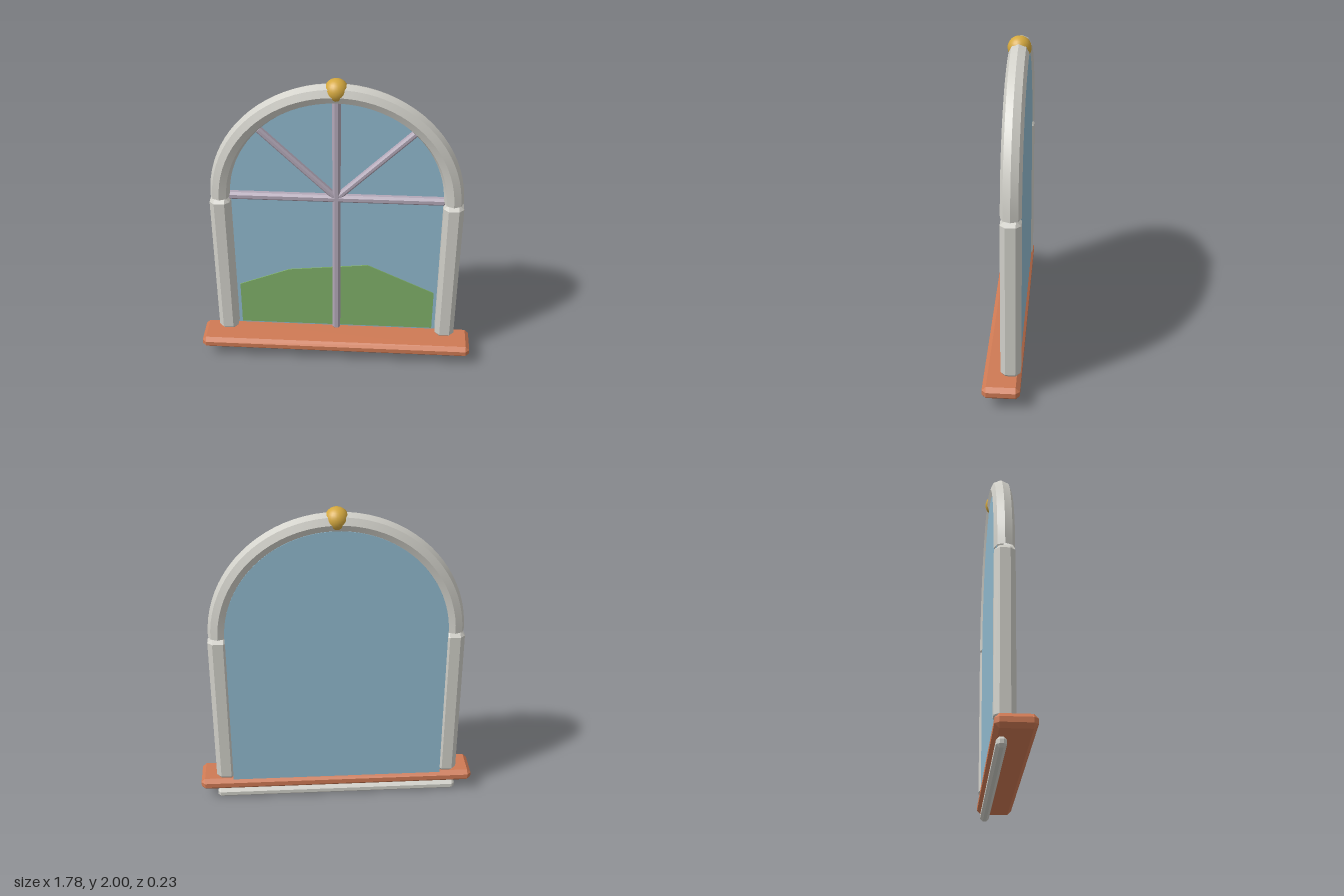
import * as THREE from 'three';
import { toCreasedNormals } from 'three/addons/utils/BufferGeometryUtils.js';
import { ConvexGeometry } from 'three/addons/geometries/ConvexGeometry.js';

const SPRING = 1.19;   // height where the arch begins
const MID_Z = -0.048;  // middle of the frame's depth

function material(name, color) {
  const m = new THREE.MeshStandardMaterial({ color });
  m.name = name;
  return m;
}

// Box with every edge cut by a flat chamfer
function chamferBox(w, h, d, b) {
  const points = [];
  for (const x of [-w / 2, w / 2])
    for (const y of [-h / 2, h / 2])
      for (const z of [-d / 2, d / 2]) {
        const sx = Math.sign(x) * b, sy = Math.sign(y) * b, sz = Math.sign(z) * b;
        points.push(
          new THREE.Vector3(x, y - sy, z - sz),
          new THREE.Vector3(x - sx, y, z - sz),
          new THREE.Vector3(x - sx, y - sy, z));
      }
  return new ConvexGeometry(points);
}

export function createModel() {
  const group = new THREE.Group();
  group.name = 'archedWindow';

  const stone = material('pale stone', 0xd0cfc8);
  const terracotta = material('terracotta', 0xcf7a54);
  const lilac = material('lilac grey', 0xb3a8b8);
  const glassBlue = material('glass blue', 0x90b9ce);
  const green = material('hill green', 0x7fb069);
  const gold = material('gold', 0xd4a83f);
  stone.side = THREE.DoubleSide;

  function add(name, geometry, mat, x, y, z) {
    const mesh = new THREE.Mesh(geometry, mat);
    mesh.name = name;
    mesh.position.set(x, y, z);
    group.add(mesh);
    return mesh;
  }

  // Sill and the rail below it
  add('sill', chamferBox(1.78, 0.08, 0.225, 0.025), terracotta, 0, 0.11, 0.002);
  add('apronRail', chamferBox(1.57, 0.06, 0.057, 0.018), stone, 0, 0.03, -0.067);

  // Side posts
  for (const [name, side] of [['leftPost', 1], ['rightPost', -1]])
    add(name, chamferBox(0.125, 1.04, 0.12, 0.03), stone, side * 0.7225, 0.67, MID_Z);

  // Eight-sided half-ring arch
  const arch = toCreasedNormals(new THREE.TorusGeometry(0.72, 0.061, 8, 40, Math.PI), 0.5);
  add('arch', arch, stone, 0, SPRING, MID_Z);

  // Round boss at the crown
  add('crownBoss', new THREE.SphereGeometry(0.07, 24, 16), gold, 0, 1.93, -0.049);

  // Glass pane with a semicircular top
  const pane = new THREE.Shape();
  pane.moveTo(-0.68, 0.145);
  pane.lineTo(0.68, 0.145);
  pane.lineTo(0.68, SPRING);
  pane.absarc(0, SPRING, 0.68, 0, Math.PI, false);
  pane.closePath();
  add('glassPane', new THREE.ExtrudeGeometry(pane,
    { depth: 0.009, bevelEnabled: false, curveSegments: 40 }), glassBlue, 0, 0, -0.096);

  // Hill in front of the glass
  const hill = new THREE.Shape([
    [-0.64, 0.16], [0.64, 0.16], [0.64, 0.455], [0.2, 0.665], [-0.31, 0.61], [-0.64, 0.475],
  ].map(([x, y]) => new THREE.Vector2(x, y)));
  add('hill', new THREE.ExtrudeGeometry(hill,
    { depth: 0.006, bevelEnabled: false }), green, 0, 0, -0.087);

  // Glazing bars: upright, crossbar and two fan spokes
  const barZ = -0.062;
  add('uprightBar', chamferBox(0.05, 1.71, 0.05, 0.014), lilac, 0, 1.01, barZ);
  add('crossBar', chamferBox(1.35, 0.05, 0.05, 0.014), lilac, 0, SPRING, barZ);
  const spoke = chamferBox(0.038, 0.67, 0.046, 0.011);
  for (const [name, side] of [['leftSpoke', 1], ['rightSpoke', -1]]) {
    const bar = add(name, spoke, lilac, side * 0.237, SPRING + 0.237, barZ);
    bar.rotation.z = -side * Math.PI / 4;
  }

  return group;
}
